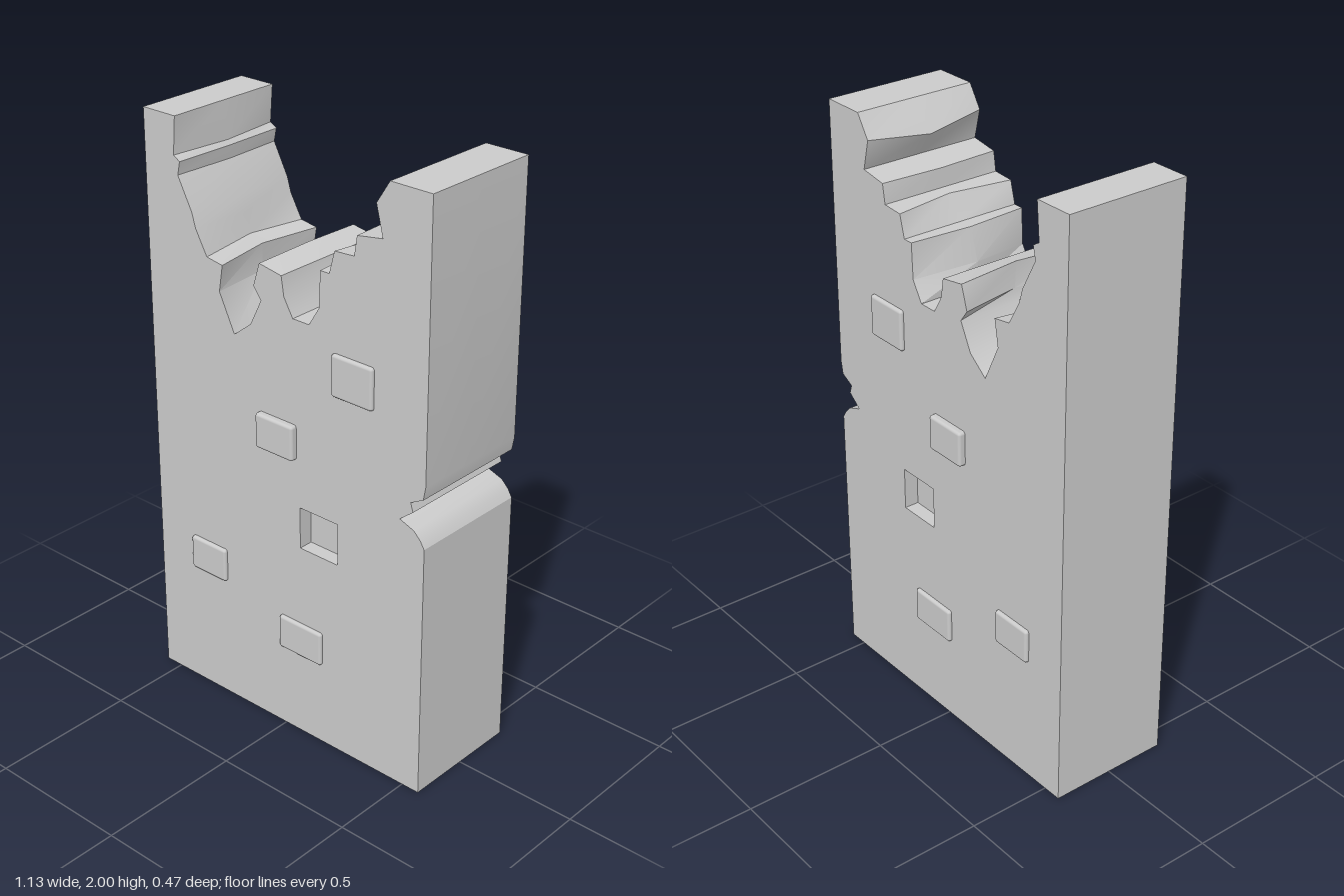
import * as THREE from 'three';
import { RoundedBoxGeometry } from 'three/addons/geometries/RoundedBoxGeometry.js';
import { toCreasedNormals } from 'three/addons/utils/BufferGeometryUtils.js';

const HALF_DEPTH = 0.213;

// Outline corners [x, y, dx, dy]; dx, dy shift the corner halfway through the wall.
const outline = [
  [-0.565, 0], [0.565, 0],
  // chipped notch in the side
  [0.565, 0.89], [0.55, 0.915], [0.525, 0.94], [0.47, 0.96], [0.52, 1.0],
  [0.51, 1.03], [0.557, 1.055], [0.565, 1.1],
  // broken top edge, right to left
  [0.565, 2], [0.413, 2], [0.365, 1.925, -0.03, -0.02], [0.39, 1.825],
  [0.295, 1.81, -0.01, 0], [0.285, 1.745], [0.21, 1.74, 0.035, 0],
  [0.19, 1.665], [0.155, 1.665, -0.015, 0], [0.15, 1.545, -0.043, 0.015],
  [0.11, 1.48], [0.045, 1.48], [0.01, 1.54, 0.005, 0], [0, 1.605],
  [-0.09, 1.62, 0.01, 0.01], [-0.115, 1.54, 0.04, 0], [-0.085, 1.5],
  [-0.13, 1.41], [-0.2, 1.355], [-0.26, 1.48, -0.02, 0],
  [-0.245, 1.57, -0.035, 0], [-0.31, 1.58, -0.02, 0.01],
  [-0.355, 1.66, 0.01, 0], [-0.37, 1.71, 0.01, 0], [-0.425, 1.815, 0.01, 0],
  [-0.415, 1.86, 0.005, 0], [-0.44, 1.875, 0.02, 0], [-0.43, 2],
  [-0.565, 2],
];

// Bricks run through the wall: x, y, width, height, half depth
const bricks = [
  [0.285, 1.35, 0.16, 0.14, 0.226],
  [-0.022, 1.068, 0.155, 0.12, 0.236],
  [-0.335, 0.503, 0.155, 0.12, 0.226],
  [0.072, 0.36, 0.18, 0.12, 0.226],
];

const socket = { x: 0.146, y: 0.772, w: 0.155, h: 0.145, depth: 0.05 };

function wallGeometry() {
  const shape = new THREE.Shape(outline.map(([x, y]) => new THREE.Vector2(x, y)));
  const { x, y, w, h } = socket;
  shape.holes.push(new THREE.Path([
    new THREE.Vector2(x - w / 2, y - h / 2), new THREE.Vector2(x - w / 2, y + h / 2),
    new THREE.Vector2(x + w / 2, y + h / 2), new THREE.Vector2(x + w / 2, y - h / 2),
  ]));
  const geometry = new THREE.ExtrudeGeometry(shape, { depth: 2 * HALF_DEPTH, steps: 2, bevelEnabled: false });
  geometry.translate(0, 0, -HALF_DEPTH);

  // Shift the middle ring so the broken faces are creased
  const pos = geometry.attributes.position;
  for (let i = 0; i < pos.count; i++) {
    if (Math.abs(pos.getZ(i)) > 0.01) continue;
    const px = pos.getX(i), py = pos.getY(i);
    const corner = outline.find(([cx, cy]) => Math.hypot(cx - px, cy - py) < 1e-4);
    if (corner) pos.setXY(i, px + (corner[2] ?? 0), py + (corner[3] ?? 0));
  }
  return toCreasedNormals(geometry, 0.5);
}

export function createModel() {
  const group = new THREE.Group();
  group.name = 'brokenWall';
  const material = new THREE.MeshStandardMaterial({ color: 0xcccccc });
  const add = (name, geometry, x = 0, y = 0) => {
    const mesh = new THREE.Mesh(geometry, material);
    mesh.name = name;
    mesh.position.set(x, y, 0);
    group.add(mesh);
  };

  add('wall', wallGeometry());

  // Raised bricks on both faces
  bricks.forEach(([x, y, w, h, d], i) =>
    add(`brick${i + 1}`, new RoundedBoxGeometry(w, h, 2 * d, 2, 0.01), x, y));

  // Floor of the empty brick socket on both faces
  add('socketFloor', new THREE.BoxGeometry(socket.w, socket.h, 2 * (HALF_DEPTH - socket.depth)), socket.x, socket.y);

  return group;
}
